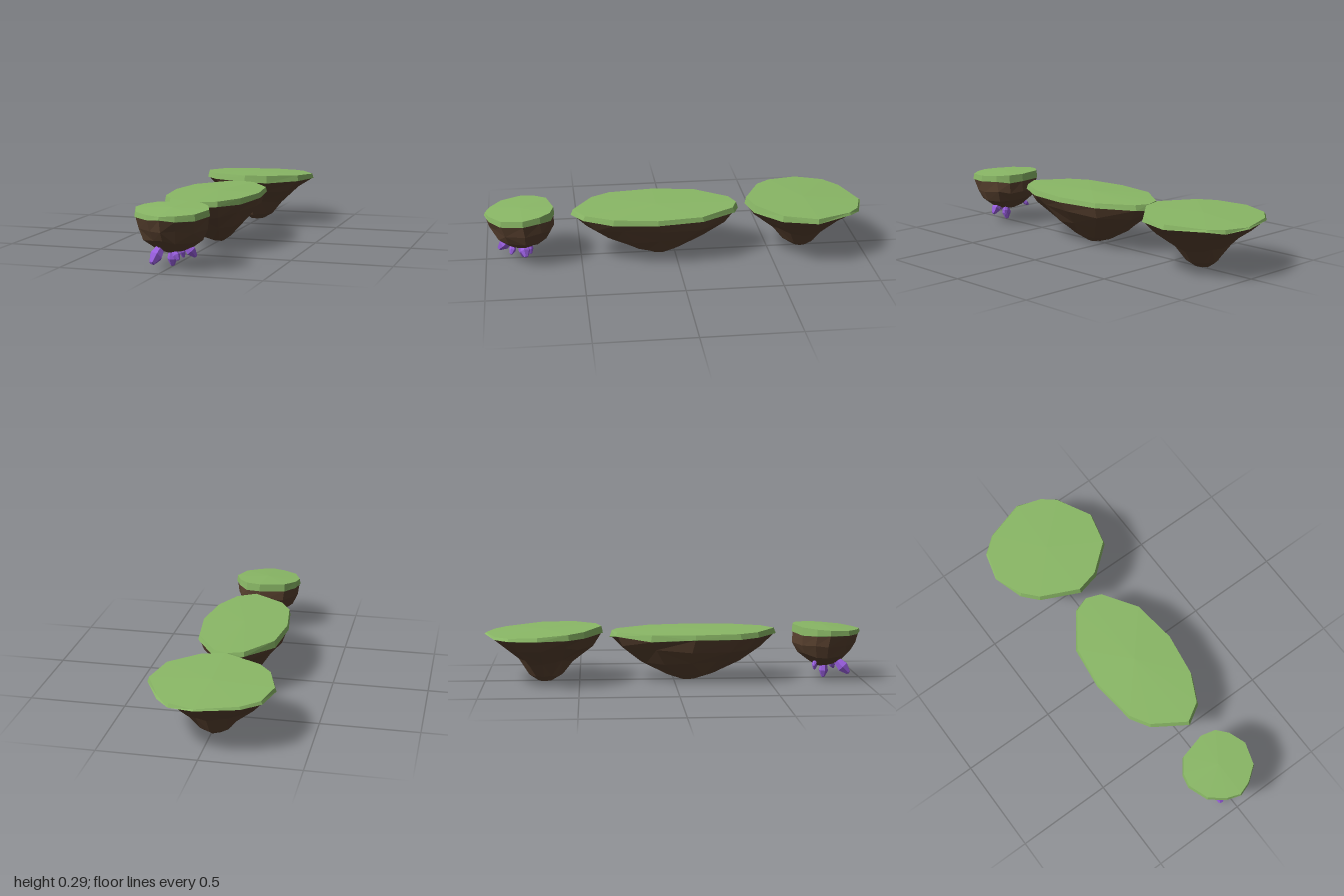
import * as THREE from 'three';

const material = (color) => new THREE.MeshStandardMaterial({ color, flatShading: true, roughness: 0.9 });
const grassMat = material(0x8ab866);
const rockMat = material(0x5a4230);
const crystalMat = material(0x9a5fe0);

// Small repeatable variation in -1..1
const wobble = (a, b) => {
  const s = Math.sin(a * 127.1 + b * 311.7) * 43758.5453;
  return (s - Math.floor(s)) * 2 - 1;
};

// Faceted skin through rings of equal length, ordered top to bottom
function loft(rings) {
  const pos = [];
  const tri = (a, b, c) => {
    if (a.distanceTo(b) < 1e-5 || b.distanceTo(c) < 1e-5 || a.distanceTo(c) < 1e-5) return;
    for (const p of [a, b, c]) pos.push(p.x, p.y, p.z);
  };
  for (let k = 0; k + 1 < rings.length; k++) {
    const up = rings[k], low = rings[k + 1], n = up.length;
    for (let i = 0; i < n; i++) {
      const j = (i + 1) % n;
      const ends = k === 0 || k === rings.length - 2;
      if (ends || (i + k) % 2) { tri(up[i], up[j], low[j]); tri(up[i], low[j], low[i]); }
      else { tri(up[i], up[j], low[i]); tri(up[j], low[j], low[i]); }
    }
  }
  const g = new THREE.BufferGeometry();
  g.setAttribute('position', new THREE.Float32BufferAttribute(pos, 3));
  g.computeVertexNormals();
  return g;
}

// Islands: outline [x, z] clockwise from above, top height with slope along z,
// rim height, and rock profile [scale, y]
const islands = [
  {
    name: 'backIsland', centre: [0, -0.69], foot: [-0.01, -0.68], top: 0.275, slope: 0.05, rim: 0.245, rough: 0.07,
    outline: [[0.02, -1], [0.15, -0.96], [0.22, -0.9], [0.315, -0.71], [0.27, -0.53], [0.12, -0.405],
      [0, -0.375], [-0.2, -0.47], [-0.27, -0.55], [-0.32, -0.71], [-0.28, -0.86], [-0.19, -0.935]],
    profile: [[0.75, 0.195], [0.44, 0.11], [0.27, 0.035], [0.12, 0.005]],
  },
  {
    name: 'middleIsland', centre: [0, 0.1], foot: [0, 0.085], top: 0.269, slope: 0.004, rim: 0.237, rough: 0.05,
    outline: [[0, -0.34], [0.08, -0.31], [0.2, -0.13], [0.23, 0.11], [0.195, 0.34], [0.12, 0.49],
      [0.02, 0.55], [-0.15, 0.44], [-0.21, 0.34], [-0.24, 0.1], [-0.21, -0.13], [-0.08, -0.31]],
    profile: [[0.84, 0.18], [0.59, 0.105], [0.27, 0.03], [0.1, 0.004]],
  },
  {
    name: 'frontIsland', centre: [0, 0.81], foot: [0, 0.8], top: 0.28, slope: -0.065, rim: 0.247, rough: 0.04,
    outline: [[0.02, 0.635], [0.1, 0.655], [0.15, 0.71], [0.185, 0.8], [0.15, 0.915], [0.07, 0.975],
      [0, 1], [-0.07, 0.975], [-0.15, 0.915], [-0.19, 0.81], [-0.175, 0.74], [-0.12, 0.67]],
    profile: [[0.92, 0.185], [0.77, 0.135], [0.48, 0.095], [0.2, 0.072]],
  },
];

function makeIsland(spec, seed) {
  const { centre, foot, outline } = spec;
  const topY = (z) => spec.top + spec.slope * (z - centre[1]);
  const point = (p, s, y, c = centre) =>
    new THREE.Vector3(c[0] + (p[0] - centre[0]) * s, y, c[1] + (p[1] - centre[1]) * s);
  const group = new THREE.Group();
  group.name = spec.name;

  // Grass slab, with a slightly raised middle and uneven lower rim
  const crown = outline.map(() => new THREE.Vector3(centre[0], spec.top + 0.004, centre[1]));
  const edge = outline.map((p) => point(p, 0.975, topY(p[1]) - 0.002));
  const rim = outline.map((p, i) => point(p, 1, spec.rim + 0.008 * wobble(i, seed)));
  const inner = rim.map((p, i) => point(outline[i], 0.97, p.y - 0.002));
  const grass = new THREE.Mesh(loft([crown, edge, rim, inner]), grassMat);
  grass.name = 'grassTop';

  // Rock underside narrowing to a blunt foot
  const rings = spec.profile.map(([s, y], k) => outline.map((p, i) =>
    point(p, s * (1 + spec.rough * wobble(i + 3 * k, seed + k)), y + (y > 0.08 ? 0.012 : 0.003) * wobble(i, k + seed * 5), foot)));
  const last = spec.profile[spec.profile.length - 1][1];
  const tip = outline.map(() => new THREE.Vector3(foot[0], Math.max(0, last - 0.006), foot[1]));
  const rock = new THREE.Mesh(loft([inner, ...rings, tip]), rockMat);
  rock.name = 'rockUnderside';
  group.add(grass, rock);
  return group;
}

// Crystals: base, tip, radius
const crystals = [
  [[-0.035, 0.105, 0.865], [-0.06, 0.03, 0.935], 0.033],
  [[-0.075, 0.105, 0.75], [-0.108, 0.078, 0.735], 0.013],
  [[0, 0.085, 0.81], [-0.002, 0.0, 0.805], 0.025],
  [[0.02, 0.09, 0.85], [0.052, 0.042, 0.87], 0.018],
  [[0.06, 0.11, 0.8], [0.112, 0.048, 0.79], 0.027],
  [[0.03, 0.1, 0.77], [0.04, 0.035, 0.765], 0.016],
];

// Six-sided shard widening from its root, then closing to a blunt point
function makeCrystal([base, tip, r]) {
  const a = new THREE.Vector3(...base), b = new THREE.Vector3(...tip);
  const dir = b.clone().sub(a), len = dir.length();
  const profile = [[0, 0], [0.6, 0], [1, 0.55], [0.4, 0.95], [0, 1]]
    .map(([s, t]) => new THREE.Vector2(s * r, t * len));
  const g = new THREE.LatheGeometry(profile, 6).toNonIndexed();
  g.computeVertexNormals();
  const mesh = new THREE.Mesh(g, crystalMat);
  mesh.name = 'crystal';
  mesh.position.copy(a);
  mesh.quaternion.setFromUnitVectors(new THREE.Vector3(0, 1, 0), dir.normalize());
  return mesh;
}

export function createModel() {
  const model = new THREE.Group();
  model.name = 'floatingIslands';
  islands.forEach((spec, i) => model.add(makeIsland(spec, i + 1)));
  const cluster = new THREE.Group();
  cluster.name = 'crystalCluster';
  crystals.forEach((c) => cluster.add(makeCrystal(c)));
  model.add(cluster);
  return model;
}
